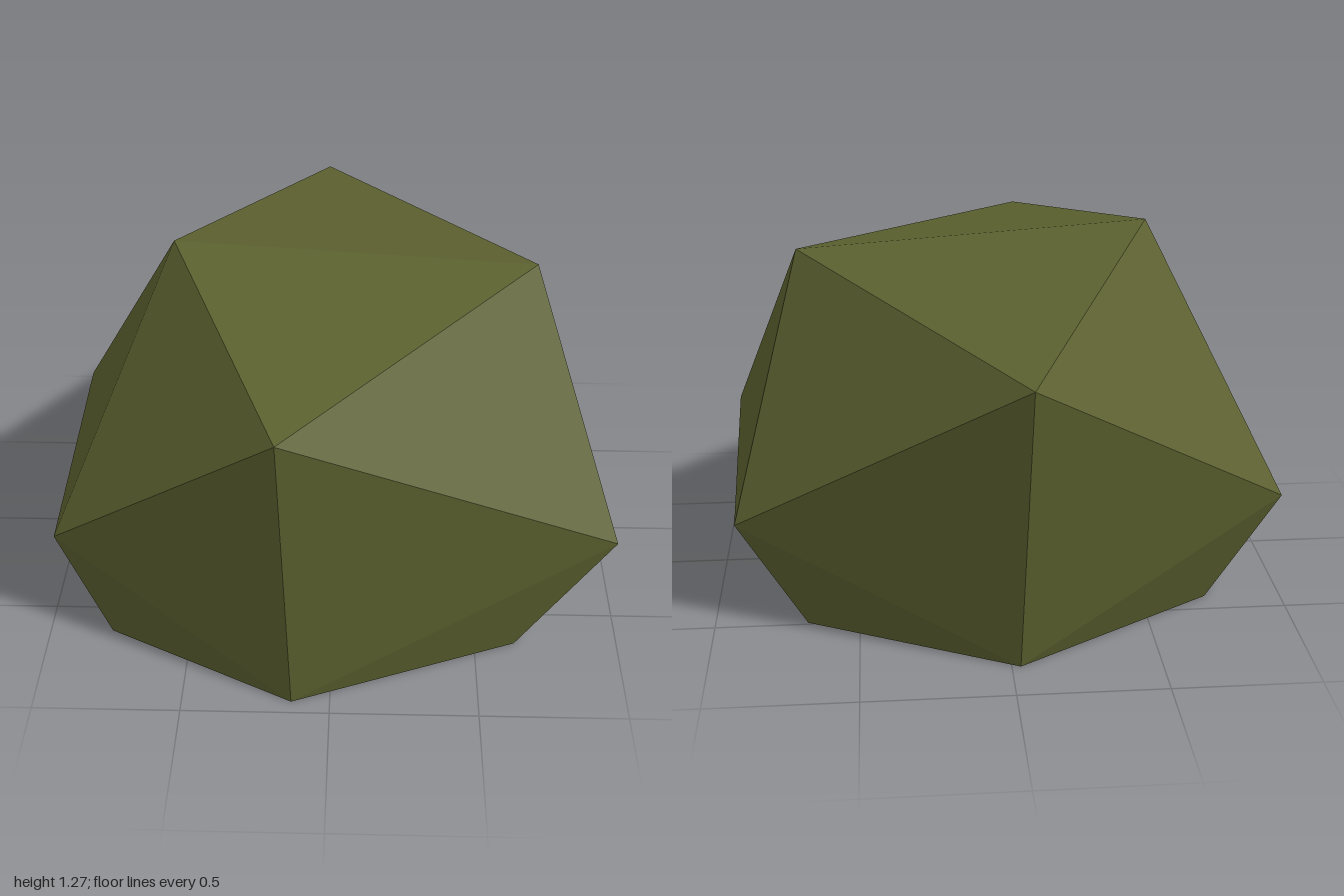
import * as THREE from 'three';

export function createModel() {
  const group = new THREE.Group();
  group.name = 'rock';
  const mossGreen = new THREE.MeshStandardMaterial({ color: 0x5b602f, flatShading: true });
  mossGreen.name = 'mossGreen';

  // Crown points
  const leftPeak = [0.69, 1.19, 0.05], rightPeak = [-0.55, 1.27, 0.06];
  const frontPeak = [-0.16, 1.10, 1.0], backPeak = [-0.05, 1.04, -1.0];

  // Waist corners, anticlockwise from front +x
  const waist = [
    [0.97, 0.42, 0.6], [0.91, 0.39, -0.5], [-0.98, 0.40, -0.43], [-0.95, 0.42, 0.61],
  ];

  // Flat foot outline, anticlockwise from the front
  const foot = [
    [-0.13, 0, 0.95], [0.64, 0, 0.65], [0.87, 0, 0.07], [0.68, 0, -0.49],
    [-0.03, 0, -0.83], [-0.73, 0, -0.41], [-0.95, 0, 0.12], [-0.78, 0, 0.62],
  ];

  const positions = [];
  const tri = (a, b, c) => positions.push(...a, ...b, ...c);

  // Lower facets: each waist corner fans down to three foot points
  waist.forEach((w, i) => {
    tri(w, foot[2 * i], foot[2 * i + 1]);
    tri(w, foot[2 * i + 1], foot[(2 * i + 2) % 8]);
  });

  // Sides: one facet under and one over each side edge of the waist
  const [fl, bl, br, fr] = waist;
  tri(fl, foot[2], bl);
  tri(fl, bl, leftPeak);
  tri(br, foot[6], fr);
  tri(br, fr, rightPeak);

  // Front and back: two facets either side of the ridge down to the foot
  tri(frontPeak, foot[0], fl);
  tri(frontPeak, fr, foot[0]);
  tri(backPeak, foot[4], br);
  tri(backPeak, bl, foot[4]);

  // Shoulders
  tri(frontPeak, fl, leftPeak);
  tri(leftPeak, bl, backPeak);
  tri(backPeak, br, rightPeak);
  tri(rightPeak, fr, frontPeak);

  // Top facets
  tri(rightPeak, frontPeak, leftPeak);
  tri(leftPeak, backPeak, rightPeak);

  // Underside
  for (let i = 1; i < 7; i++) tri(foot[0], foot[i + 1], foot[i]);

  const geometry = new THREE.BufferGeometry();
  geometry.setAttribute('position', new THREE.Float32BufferAttribute(positions, 3));
  geometry.computeVertexNormals();

  const boulder = new THREE.Mesh(geometry, mossGreen);
  boulder.name = 'boulder';
  group.add(boulder);
  return group;
}
